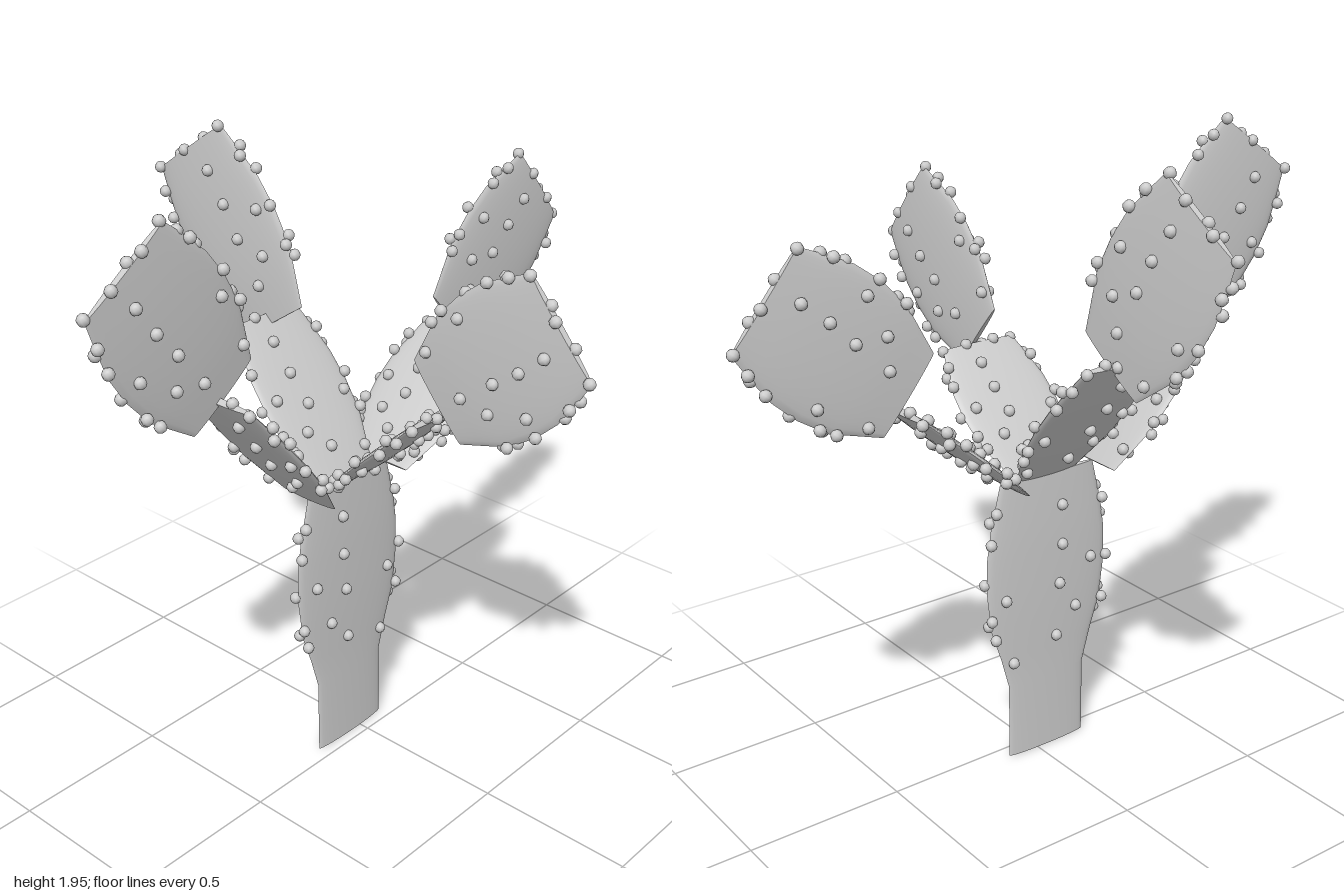
import * as THREE from 'three';
import { mergeGeometries, toCreasedNormals } from 'three/addons/utils/BufferGeometryUtils.js';

const material = new THREE.MeshStandardMaterial({ color: 0xcccccc });

// Outline rows: [fraction of length, half width, half thickness]
const PAD = [[0, 0.136, 0.008], [0.15, 0.17, 0.014], [0.3, 0.204, 0.018], [0.5, 0.217, 0.019],
  [0.68, 0.212, 0.018], [0.85, 0.188, 0.015], [1, 0.163, 0.01]];
const TRUNK = [[0, 0.145, 0.012], [0.266, 0.145, 0.012], [0.38, 0.175, 0.014], [0.49, 0.21, 0.017],
  [0.62, 0.225, 0.018], [0.745, 0.225, 0.018], [0.85, 0.21, 0.017], [1, 0.175, 0.012]];

// Bumps on both faces: [fraction of length, sideways offset]
const FACE_BUMPS = [[0.84, -0.045], [0.65, -0.045], [0.54, -0.16], [0.46, -0.035],
  [0.45, 0.165], [0.32, -0.1], [0.2, -0.025], [0.125, 0.135]];
const RIM_BUMPS = [0.26, 0.32, 0.36, 0.53, 0.73, 0.82, 0.87];
const TOP_BUMPS = [-0.97, -0.38, 0.14, 0.4, 0.97];

// Half width and half thickness at fraction t
function sizeAt(rows, t) {
  let i = 1;
  while (i < rows.length - 1 && rows[i][0] < t) i++;
  const a = rows[i - 1], b = rows[i], k = (t - a[0]) / (b[0] - a[0]);
  return [a[1] + (b[1] - a[1]) * k, a[2] + (b[2] - a[2]) * k];
}

// Flat lens-shaped body: a cylinder squeezed to the outline
function bodyGeometry(rows, length, widthScale) {
  const n = rows.length - 1;
  const geo = new THREE.CylinderGeometry(1, 1, 1, 28, n);
  const p = geo.attributes.position;
  for (let i = 0; i < p.count; i++) {
    const [t, w, d] = rows[Math.round((p.getY(i) + 0.5) * n)];
    p.setXYZ(i, p.getX(i) * w * widthScale, t * length, p.getZ(i) * d);
  }
  return toCreasedNormals(geo, 0.9);
}

// Small round bumps over the faces, sides and top edge; t0 is where the pad part begins
function bumpGeometry(rows, length, widthScale, t0, onTop) {
  const parts = [];
  const add = (x, t, z) =>
    parts.push(new THREE.SphereGeometry(0.018, 8, 6).translate(x, t * length, z));
  for (const [f, x] of FACE_BUMPS) {
    const t = t0 + f * (1 - t0);
    const [w, d] = sizeAt(rows, t);
    const z = d * Math.sqrt(Math.max(0, 1 - (x / w) ** 2)) + 0.005;
    for (const s of [-1, 1]) add(x * widthScale, t, s * z);
  }
  RIM_BUMPS.forEach((f, i) => {
    for (const s of [-1, 1]) {
      const t = t0 + (f + s * 0.008) * (1 - t0);
      add(s * sizeAt(rows, t)[0] * widthScale, t, s * (i % 2 ? 0.012 : -0.012));
    }
  });
  if (onTop) {
    const w = sizeAt(rows, 1)[0] * widthScale;
    TOP_BUMPS.forEach((f, i) => add(f * w, 1, i % 2 ? 0.008 : -0.008));
  }
  return mergeGeometries(parts);
}

// One pad running from base to tip, with its face turned towards facing
function makePad(name, base, tip, facing, rows = PAD, widthScale = 1, t0 = 0, onTop = true) {
  const up = tip.clone().sub(base);
  const length = up.length();
  up.normalize();
  const right = up.clone().cross(facing).normalize();
  const normal = right.clone().cross(up);
  const group = new THREE.Group();
  group.name = name;
  const body = new THREE.Mesh(bodyGeometry(rows, length, widthScale), material);
  body.name = name + 'Body';
  const bumps = new THREE.Mesh(bumpGeometry(rows, length, widthScale, t0, onTop), material);
  bumps.name = name + 'Bumps';
  group.add(body, bumps);
  group.quaternion.setFromRotationMatrix(new THREE.Matrix4().makeBasis(right, up, normal));
  group.position.copy(base);
  return group;
}

export function createModel() {
  const V = (x, y, z) => new THREE.Vector3(x, y, z);
  const cactus = new THREE.Group();
  cactus.name = 'cactus';
  const X = V(1, 0, 0), Z = V(0, 0, 1);

  // Trunk: narrow stem opening into a pad
  cactus.add(makePad('trunk', V(-0.04, 0, -0.045), V(-0.04, 0.94, -0.045), Z, TRUNK, 1, 0.266, false));

  // Four branches: a lower pad facing up and an upper pad turned edge-on to it
  const branches = [
    ['left', V(0.11, 0.94, -0.05), V(0.48, 1.255, -0.05),
      V(0.452, 1.295, -0.058), V(0.87, 1.635, -0.047), Z],
    ['right', V(-0.21, 0.94, -0.05), V(-0.55, 1.375, -0.05),
      V(-0.525, 1.375, -0.058), V(-0.85, 1.835, -0.038), Z],
    ['front', V(-0.035, 0.935, -0.04), V(-0.035, 1.26, 0.3),
      V(-0.025, 1.29, 0.283), V(-0.045, 1.635, 0.7), X],
    ['back', V(-0.035, 0.935, -0.045), V(-0.035, 1.375, -0.385),
      V(-0.028, 1.36, -0.348), V(-0.042, 1.84, -0.672), X],
  ];
  for (const [side, base, tip, upperBase, upperTip, facing] of branches) {
    cactus.add(makePad(side + 'LowerPad', base, tip, V(0, 1, 0), PAD, 0.8));
    cactus.add(makePad(side + 'UpperPad', upperBase, upperTip, facing));
  }
  return cactus;
}
